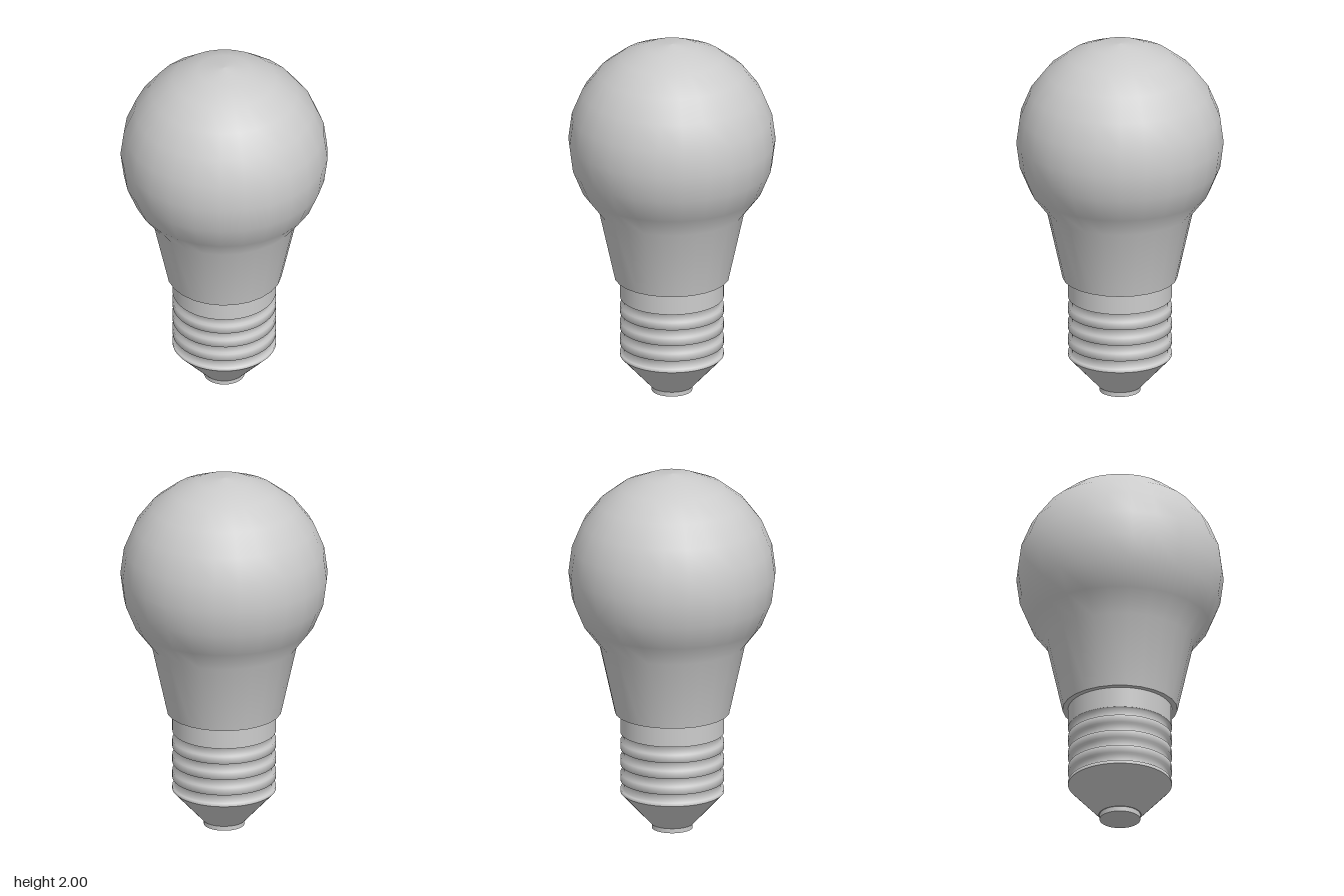
import * as THREE from 'three';

export function createModel() {
  const bulb = new THREE.Group();
  bulb.name = 'lightBulb';
  const material = new THREE.MeshStandardMaterial({ color: 0xcccccc, side: THREE.DoubleSide });

  // Revolves a profile of [radius, height] pairs, listed from bottom to top
  function revolve(name, profile, segments) {
    const points = profile.map(([r, y]) => new THREE.Vector2(r, y));
    const mesh = new THREE.Mesh(new THREE.LatheGeometry(points, segments, Math.PI), material);
    mesh.name = name;
    bulb.add(mesh);
  }

  // Glass: tapered neck flowing into a globe
  const radius = 0.56, centreY = 1.44, sides = 25;
  const glass = [[0.31, 0.655]];
  for (let i = 9; i >= 0; i--) {
    const a = (i * Math.PI) / 12;
    glass.push([radius * Math.sin(a), centreY + radius * Math.cos(a)]);
  }
  revolve('glass', glass, sides);
  revolve('neckRim', [[0.26, 0.655], [0.31, 0.655]], sides);

  // Screw base: grooves and ridges below a plain collar
  const ridge = 0.28, groove = 0.26;
  const thread = [[ridge, 0.205], [ridge, 0.223]];
  for (let i = 0; i < 3; i++) {
    const y = 0.271 + i * 0.09;
    thread.push([groove, y - 0.047], [groove, y - 0.001], [ridge, y], [ridge, y + 0.042]);
  }
  thread.push([groove, 0.494], [groove, 0.54], [ridge, 0.541]);
  revolve('screwThread', thread, 48);
  revolve('collar', [[ridge, 0.541], [ridge, 0.655]], 48);

  // Insulating cone and bottom contact
  revolve('insulator', [[0.115, 0.027], [ridge, 0.205]], 48);
  revolve('insulatorBase', [[0, 0.027], [0.115, 0.027]], 48);
  const contact = new THREE.Mesh(new THREE.CylinderGeometry(0.11, 0.11, 0.027, 48), material);
  contact.name = 'contact';
  contact.position.y = 0.0135;
  bulb.add(contact);

  return bulb;
}
